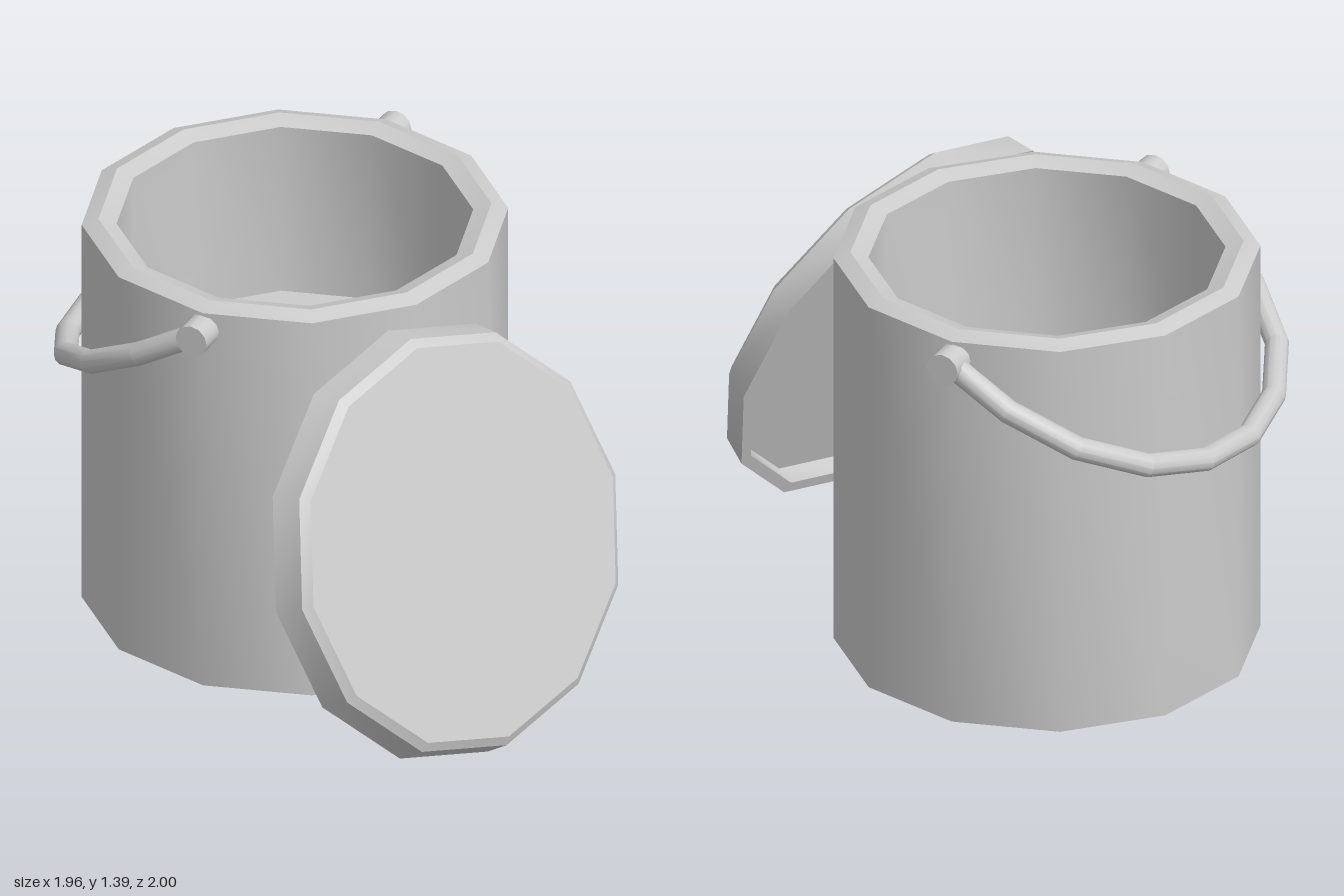
import * as THREE from 'three';
import { toCreasedNormals } from 'three/addons/utils/BufferGeometryUtils.js';

const SIDES = 12;
const material = new THREE.MeshStandardMaterial({ color: 0xcccccc, side: THREE.DoubleSide });

function addMesh(parent, name, geometry) {
  const mesh = new THREE.Mesh(toCreasedNormals(geometry, 0.55), material);
  mesh.name = name;
  parent.add(mesh);
  return mesh;
}

// Twelve-sided turned shape from [radius, height] pairs
function turned(profile) {
  return new THREE.LatheGeometry(profile.map(([r, y]) => new THREE.Vector2(r, y)), SIDES);
}

// Flat twelve-sided disc at a given height
function disc(radius, y) {
  return new THREE.CircleGeometry(radius, SIDES).rotateX(-Math.PI / 2).translate(0, y, 0);
}

// Curve through straight segments, so the bends stay faceted
class Polyline extends THREE.Curve {
  constructor(points) {
    super();
    this.points = points;
  }
  getPoint(t, target = new THREE.Vector3()) {
    const n = this.points.length - 1;
    const s = Math.min(Math.max(t, 0), 1) * n;
    const i = Math.min(Math.floor(s), n - 1);
    return target.lerpVectors(this.points[i], this.points[i + 1], s - i);
  }
  getUtoTmapping(u) {
    return u;
  }
}

function createBucket() {
  const bucket = new THREE.Group();
  bucket.name = 'bucket';
  bucket.position.set(-0.22, 0, -0.24);

  // Outer wall, bevelled rim and inner wall; open underneath
  addMesh(bucket, 'bucketWall', turned([
    [0.684, 0], [0.684, 1.375], [0.63, 1.395], [0.572, 1.375], [0.572, 0.77],
  ]));
  addMesh(bucket, 'bucketFloor', disc(0.572, 0.77));

  // Pivot pegs on both sides
  for (const side of [1, -1]) {
    const peg = addMesh(bucket, side > 0 ? 'frontPeg' : 'backPeg',
      new THREE.CylinderGeometry(0.055, 0.055, 0.12, SIDES));
    peg.rotation.x = Math.PI / 2;
    peg.position.set(-0.005, 1.31, side * 0.702);
  }

  // Bail handle, hanging down at an angle: [reach from pivot, half width]
  const half = [[0, 0.71], [0.245, 0.71], [0.485, 0.63], [0.68, 0.465], [0.795, 0.245], [0.835, 0]];
  const path = [
    ...half.map(([u, w]) => new THREE.Vector3(-u, 0, w)),
    ...half.slice(0, -1).reverse().map(([u, w]) => new THREE.Vector3(-u, 0, -w)),
  ];
  const handle = addMesh(bucket, 'handle',
    new THREE.TubeGeometry(new Polyline(path), path.length - 1, 0.039, SIDES, false));
  handle.position.set(-0.005, 1.31, 0);
  handle.rotation.z = 0.535;
  return bucket;
}

function createLid() {
  // Hollow cap: flared skirt, narrow bevel, flat top at local y = 0 and a recess behind
  const lid = new THREE.Group();
  lid.name = 'lid';
  addMesh(lid, 'lidSkirt', turned([
    [0.665, -0.06], [0.67, -0.125], [0.71, -0.125], [0.685, -0.022], [0.655, 0],
  ]));
  addMesh(lid, 'lidTop', disc(0.655, 0));
  addMesh(lid, 'lidUnderside', disc(0.665, -0.06).rotateX(Math.PI).translate(0, -0.12, 0));

  // Leaning against the bucket
  const up = new THREE.Vector3(0.873, 0.356, 0.333).normalize();
  const side = new THREE.Vector3(-0.217, 0.63, -0.105);
  side.addScaledVector(up, -side.dot(up)).normalize();
  const basis = new THREE.Matrix4().makeBasis(side, up, new THREE.Vector3().crossVectors(side, up));
  lid.quaternion.setFromRotationMatrix(basis);
  lid.position.set(0.667, 0.712, 0.372);
  return lid;
}

export function createModel() {
  const model = new THREE.Group();
  model.name = 'bucketWithLid';
  model.add(createBucket(), createLid());
  return model;
}
